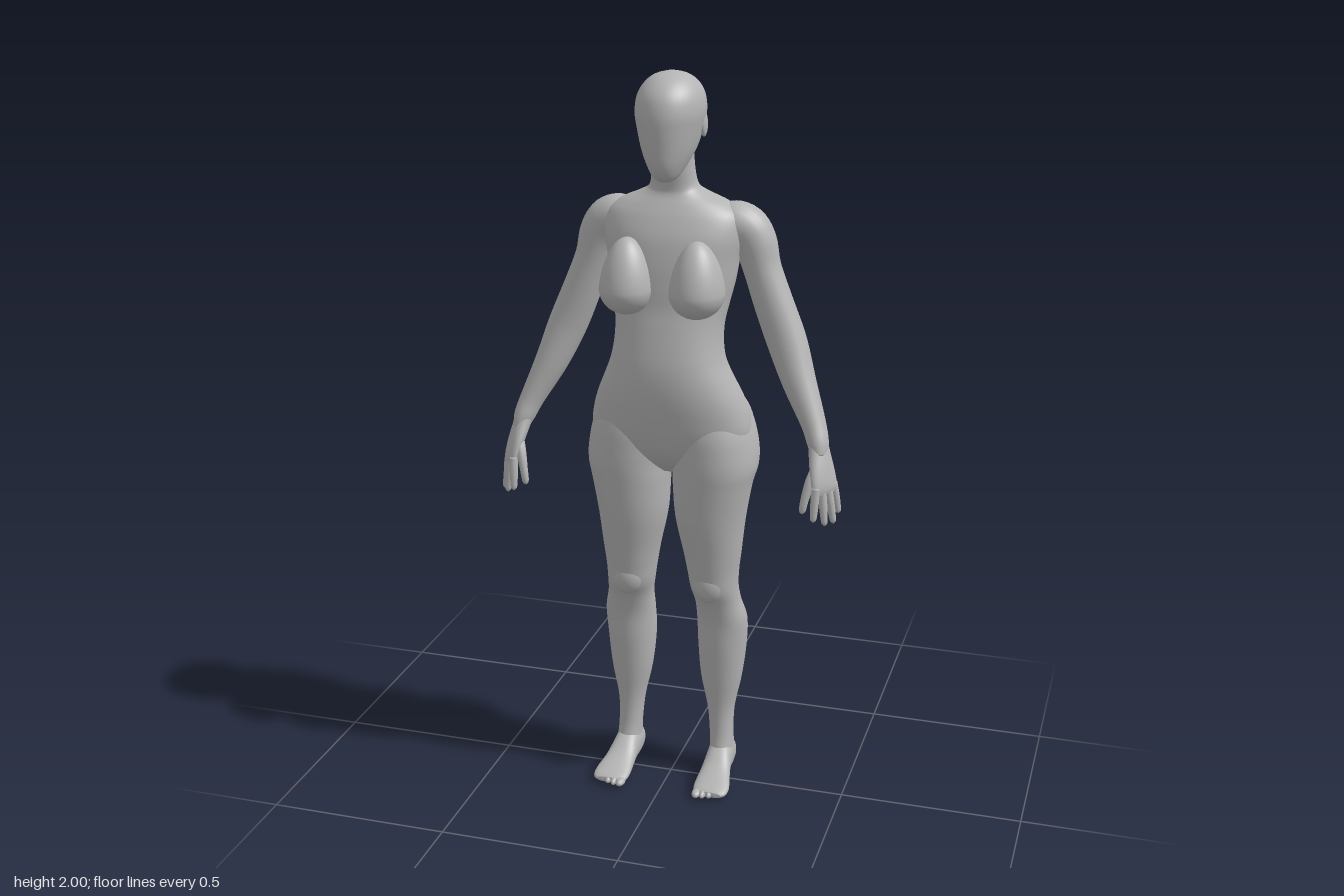
import * as THREE from 'three';

const skinMat = new THREE.MeshStandardMaterial({ color: 0xb4b4b4 });
skinMat.name = 'plain grey';

// Catmull-Rom smoothing of every column in a list of rows
function smoothRows(rows, steps = 5) {
  const out = [], n = rows.length;
  for (let i = 0; i < n - 1; i++) {
    const [a, b, c, d] = [rows[Math.max(i - 1, 0)], rows[i], rows[i + 1], rows[Math.min(i + 2, n - 1)]];
    for (let k = 0; k < steps; k++) {
      const t = k / steps;
      out.push(b.map((_, j) => 0.5 * (2 * b[j] + (c[j] - a[j]) * t
        + (2 * a[j] - 5 * b[j] + 4 * c[j] - d[j]) * t * t
        + (3 * b[j] - a[j] - 3 * c[j] + d[j]) * t * t * t)));
    }
  }
  out.push(rows[n - 1]);
  return out;
}

// Closed skin over a list of rings, turned outward whatever the ring order
function skin(name, rings) {
  const m = rings[0].length, pts = rings.flat(), index = [];
  for (let i = 0; i < rings.length - 1; i++) for (let j = 0; j < m; j++) {
    const k = (j + 1) % m, a = i * m + j, b = i * m + k;
    index.push(a, a + m, b, b, a + m, b + m);
  }
  [0, rings.length - 1].forEach((r, end) => {
    const mid = new THREE.Vector3();
    rings[r].forEach(p => mid.addScaledVector(p, 1 / m));
    const c = pts.push(mid) - 1;
    for (let j = 0; j < m; j++) {
      const a = r * m + j, b = r * m + (j + 1) % m;
      index.push(c, end ? b : a, end ? a : b);
    }
  });
  let volume = 0;
  const cross = new THREE.Vector3();
  for (let i = 0; i < index.length; i += 3)
    volume += pts[index[i]].dot(cross.crossVectors(pts[index[i + 1]], pts[index[i + 2]]));
  if (volume < 0) index.reverse();
  const g = new THREE.BufferGeometry().setFromPoints(pts);
  g.setIndex(index);
  g.computeVertexNormals();
  const mesh = new THREE.Mesh(g, skinMat);
  mesh.name = name;
  return mesh;
}

// Rows of [position along axis, centre x, half width, low edge, high edge]
function loft(name, rows, { side = 1, power = 2, along = 'y', segs = 40 } = {}) {
  const e = 2 / power, bulge = v => Math.sign(v) * Math.abs(v) ** e;
  return skin(name, smoothRows(rows).map(([s, c, h, lo, hi]) =>
    Array.from({ length: segs }, (_, j) => {
      const t = j / segs * Math.PI * 2;
      const x = side * (c + h * bulge(Math.cos(t)));
      const v = (lo + hi) / 2 + (hi - lo) / 2 * bulge(Math.sin(t));
      return along === 'y' ? new THREE.Vector3(x, s, v) : new THREE.Vector3(x, v, s);
    })));
}

// Rows of [x, y, z, thickness radius, breadth radius] swept along their path
function limb(name, rows, side, hint = [0, 0, 1], segs = 24) {
  const r = smoothRows(rows), at = i => new THREE.Vector3(...r[i].slice(0, 3));
  return skin(name, r.map((row, i) => {
    const t = at(Math.min(i + 1, r.length - 1)).sub(at(Math.max(i - 1, 0))).normalize();
    const b = new THREE.Vector3(...hint);
    b.addScaledVector(t, -b.dot(t)).normalize();
    const n = new THREE.Vector3().crossVectors(t, b);
    return Array.from({ length: segs }, (_, j) => {
      const a = j / segs * Math.PI * 2;
      const p = at(i).addScaledVector(n, row[3] * Math.cos(a)).addScaledVector(b, row[4] * Math.sin(a));
      p.x *= side;
      return p;
    });
  }));
}

function ellipsoid(name, [x, y, z], [rx, ry, rz], shape) {
  const g = new THREE.SphereGeometry(1, 32, 24), p = g.attributes.position;
  if (shape) for (let i = 0; i < p.count; i++) p.setXYZ(i, ...shape(p.getX(i), p.getY(i), p.getZ(i)));
  g.scale(rx, ry, rz);
  g.computeVertexNormals();
  const mesh = new THREE.Mesh(g, skinMat);
  mesh.position.set(x, y, z);
  mesh.name = name;
  return mesh;
}

export function createModel() {
  const body = new THREE.Group();
  body.name = 'figure';

  // Trunk from crotch to neck
  body.add(loft('torso', [
    [0.93, 0, 0.04, -0.06, 0.03], [0.96, 0, 0.13, -0.08, 0.065], [1.0, 0, 0.2, -0.11, 0.095],
    [1.05, 0, 0.218, -0.125, 0.115], [1.1, 0, 0.213, -0.135, 0.127], [1.15, 0, 0.197, -0.125, 0.136],
    [1.2, 0, 0.175, -0.105, 0.14], [1.25, 0, 0.155, -0.09, 0.138], [1.3, 0, 0.146, -0.09, 0.13],
    [1.35, 0, 0.146, -0.102, 0.12], [1.4, 0, 0.155, -0.12, 0.11], [1.46, 0, 0.168, -0.138, 0.105],
    [1.52, 0, 0.177, -0.147, 0.098], [1.58, 0, 0.188, -0.148, 0.085], [1.63, 0, 0.182, -0.138, 0.063],
    [1.66, 0, 0.148, -0.12, 0.045], [1.685, 0, 0.092, -0.1, 0.03], [1.705, 0, 0.064, -0.087, 0.028],
    [1.75, 0, 0.056, -0.075, 0.035], [1.8, 0, 0.054, -0.07, 0.04],
  ], { power: 2.2, segs: 56 }));

  // Smooth faceless head
  body.add(loft('head', [
    [1.727, 0, 0.018, 0.025, 0.072], [1.74, 0, 0.034, 0, 0.092], [1.77, 0, 0.052, -0.045, 0.108],
    [1.81, 0, 0.07, -0.085, 0.115], [1.86, 0, 0.083, -0.108, 0.12], [1.9, 0, 0.09, -0.116, 0.12],
    [1.94, 0, 0.085, -0.111, 0.109], [1.97, 0, 0.068, -0.09, 0.085], [1.99, 0, 0.042, -0.055, 0.052],
    [2.0, 0, 0.004, -0.008, 0.004],
  ]));

  for (const [side, label] of [[1, 'left'], [-1, 'right']]) {
    const add = (...meshes) => body.add(...meshes);

    add(ellipsoid(label + 'Ear', [side * 0.083, 1.865, -0.015], [0.009, 0.032, 0.018]));

    // Breast: round below, drawn out into the chest above
    add(ellipsoid(label + 'Breast', [side * 0.094, 1.45, 0.085], [0.073, 0.07, 0.084],
      (x, y, z) => y > 0 ? [x * (1 - 0.15 * y), y * 1.9, z * (1 - 0.2 * y)] : [x, y, z]));

    // Buttock, thigh, knee and calf in one skin
    add(loft(label + 'Leg', [
      [1.17, 0.1, 0.04, -0.1, 0.05], [1.12, 0.105, 0.09, -0.143, 0.09], [1.06, 0.11, 0.11, -0.163, 0.105],
      [1.0, 0.116, 0.117, -0.165, 0.107], [0.95, 0.119, 0.116, -0.15, 0.106], [0.9, 0.115, 0.108, -0.119, 0.101],
      [0.8, 0.11, 0.096, -0.11, 0.09], [0.7, 0.115, 0.08, -0.097, 0.072], [0.64, 0.117, 0.071, -0.092, 0.062],
      [0.59, 0.12, 0.066, -0.09, 0.053], [0.54, 0.127, 0.064, -0.1, 0.03], [0.48, 0.134, 0.07, -0.12, 0.014],
      [0.4, 0.133, 0.068, -0.135, 0.008], [0.3, 0.132, 0.058, -0.117, -0.002], [0.2, 0.133, 0.038, -0.1, -0.012],
      [0.12, 0.136, 0.033, -0.093, -0.01], [0.06, 0.139, 0.034, -0.1, 0.002], [0.03, 0.139, 0.03, -0.095, 0.0],
    ], { side, power: 2.1 }));
    add(ellipsoid(label + 'Kneecap', [side * 0.117, 0.61, 0.028], [0.045, 0.055, 0.034]));

    // Foot from heel to toes
    add(loft(label + 'Foot', [
      [-0.113, 0.138, 0.01, 0.025, 0.045], [-0.103, 0.138, 0.028, 0.007, 0.075], [-0.06, 0.138, 0.036, 0, 0.105],
      [-0.01, 0.139, 0.037, 0.002, 0.092], [0.04, 0.142, 0.043, 0.004, 0.06], [0.09, 0.146, 0.05, 0.002, 0.04],
      [0.12, 0.147, 0.047, 0.003, 0.03], [0.133, 0.146, 0.036, 0.008, 0.023],
    ], { side, along: 'z', power: 2.3 }));
    for (let i = 0; i < 5; i++)
      add(ellipsoid(label + 'Toe', [side * (0.112 + 0.018 * i), 0.014, 0.128 - 0.003 * i * i / 1.6],
        [i ? 0.009 : 0.013, 0.011, 0.023]));

    // Shoulder to wrist
    add(limb(label + 'Arm', [
      [0.11, 1.6, -0.045, 0.03, 0.04], [0.145, 1.607, -0.05, 0.056, 0.06], [0.185, 1.595, -0.056, 0.06, 0.062],
      [0.212, 1.555, -0.057, 0.057, 0.058], [0.232, 1.49, -0.055, 0.05, 0.053], [0.265, 1.4, -0.05, 0.052, 0.051],
      [0.305, 1.3, -0.042, 0.053, 0.05], [0.345, 1.2, -0.02, 0.045, 0.046], [0.392, 1.1, 0.01, 0.033, 0.037],
      [0.411, 1.05, 0.03, 0.028, 0.033], [0.42, 1.02, 0.04, 0.018, 0.028],
    ], side));

    // Palm, fingers and thumb
    const across = [-0.5, 0, 0.86];
    add(limb(label + 'Palm', [
      [0.408, 1.06, 0.026, 0.024, 0.028], [0.416, 1.03, 0.037, 0.023, 0.033], [0.428, 0.985, 0.053, 0.02, 0.042],
      [0.438, 0.945, 0.063, 0.016, 0.045], [0.442, 0.925, 0.066, 0.008, 0.036],
    ], side, across));
    const tips = [[0.418, 0.858, 0.105], [0.445, 0.843, 0.083], [0.463, 0.842, 0.056], [0.47, 0.862, 0.028]];
    tips.forEach((tip, i) => {
      const offset = 0.034 - 0.0227 * i;
      const base = [0.438 - 0.5 * offset, 0.95, 0.064 + 0.86 * offset];
      const row = (t, r) => [...base.map((v, j) => v + (tip[j] - v) * t), r, r];
      add(limb(label + 'Finger', [row(0, 0.011), row(0.4, 0.0115), row(0.75, 0.01), row(0.93, 0.008), row(1, 0.002)],
        side, across, 12));
    });
    add(limb(label + 'Thumb', [
      [0.42, 1.01, 0.052, 0.012, 0.014], [0.405, 0.965, 0.078, 0.014, 0.016], [0.393, 0.92, 0.092, 0.011, 0.012],
      [0.387, 0.885, 0.096, 0.009, 0.009], [0.386, 0.875, 0.096, 0.002, 0.002],
    ], side, across, 12));
  }
  return body;
}
